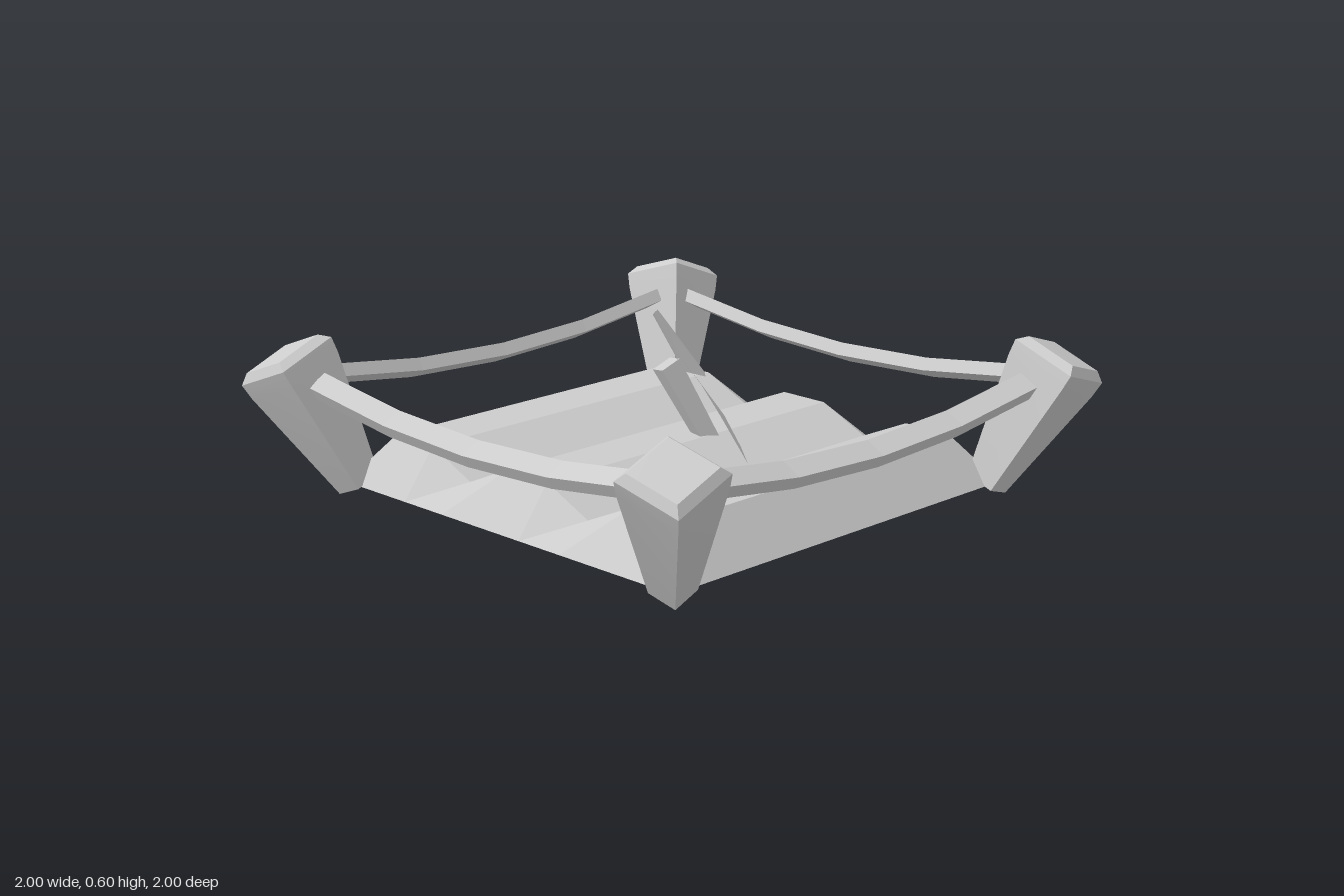
import * as THREE from 'three';
import { toCreasedNormals } from 'three/addons/utils/BufferGeometryUtils.js';

const material = new THREE.MeshStandardMaterial({ color: 0xcccccc });
const thin = new THREE.MeshStandardMaterial({ color: 0xcccccc, side: THREE.DoubleSide });

function add(parent, name, geometry, mat = material) {
  const mesh = new THREE.Mesh(geometry, mat);
  mesh.name = name;
  parent.add(mesh);
  return mesh;
}

function flat(geometry) {
  const g = geometry.toNonIndexed();
  g.computeVertexNormals();
  return g;
}

// Open-bottomed bed: furrowed top with a sloping skirt on all sides
function soilGeometry() {
  const xs = [-0.75, -0.63, -0.45, -0.27, -0.09, 0.09, 0.27, 0.45, 0.63, 0.75];
  const zs = [-0.75, -0.63, 0.63, 0.75];
  const g = new THREE.PlaneGeometry(1, 1, 9, 3);
  zs.forEach((z, r) => xs.forEach((x0, c) => {
    const endRow = r === 0 || r === 3;
    const border = endRow || c === 0 || c === 9;
    const x = endRow && (c === 1 || c === 8) ? Math.sign(x0) * 0.75 : x0;
    const y = border ? 0.04 : (c === 3 || c === 6 ? 0.12 : 0.2);
    g.attributes.position.setXYZ(r * 10 + c, x, y, z);
  }));
  return flat(g);
}

// Square post that widens upward to a chamfered head
function postGeometry() {
  const profile = [[0, 0], [0.072, 0], [0.158, 0.41], [0.164, 0.465], [0.13, 0.493], [0, 0.495]];
  const g = new THREE.LatheGeometry(profile.map(([r, y]) => new THREE.Vector2(r, y)), 4);
  return toCreasedNormals(g.rotateY(0.09), 0.6);
}

// Sagging plank, tilted outward like the posts
function railGeometry() {
  const g = new THREE.BoxGeometry(1.49, 0.045, 0.075, 4, 1, 1).rotateX(0.5);
  const p = g.attributes.position;
  for (let i = 0; i < p.count; i++) {
    p.setY(i, p.getY(i) + 0.318 + 0.065 * (p.getX(i) / 0.745) ** 2);
  }
  return flat(g.translate(0, 0, 0.845));
}

// Leaf blade spanned between an upper and a lower edge
function leafGeometry(upper, lower) {
  const points = [];
  const index = [];
  upper.forEach((u, i) => {
    points.push(...u, ...lower[i]);
    if (i > 0) {
      const a = 2 * i - 2;
      index.push(a, a + 1, a + 2, a + 1, a + 3, a + 2);
    }
  });
  const g = new THREE.BufferGeometry();
  g.setAttribute('position', new THREE.Float32BufferAttribute(points, 3));
  g.setIndex(index);
  g.computeVertexNormals();
  return g;
}

export function createModel() {
  const model = new THREE.Group();
  model.name = 'gardenBed';
  add(model, 'soil', soilGeometry(), thin);

  // Fence: one post and one rail per quarter turn
  const post = postGeometry();
  const rail = railGeometry();
  for (let i = 0; i < 4; i++) {
    const corner = new THREE.Group();
    corner.name = 'fenceCorner';
    corner.rotation.y = -Math.PI / 4 + i * Math.PI / 2;
    const p = add(corner, 'post', post);
    p.position.set(0, 0.034, 1.018);
    p.rotation.x = 0.49;
    model.add(corner);
    add(model, 'rail', rail).rotation.y = i * Math.PI / 2;
  }

  // Seedling: leaning square stem and two leaves
  const sprout = new THREE.Group();
  sprout.name = 'sprout';
  const base = new THREE.Vector3(0.075, 0.16, -0.1);
  const top = new THREE.Vector3(-0.015, 0.435, 0.015);
  const axis = top.clone().sub(base);
  const stem = add(sprout, 'stem',
    flat(new THREE.CylinderGeometry(0.05, 0.04, axis.length(), 4).rotateY(0.5)));
  stem.position.copy(base).add(top).multiplyScalar(0.5);
  stem.quaternion.setFromUnitVectors(new THREE.Vector3(0, 1, 0), axis.normalize());

  add(sprout, 'backLeaf', leafGeometry(
    [[-0.04, 0.6, 0.05], [-0.15, 0.57, -0.07], [-0.25, 0.54, -0.18], [-0.35, 0.3, -0.38]],
    [[0.05, 0.42, 0], [0.04, 0.38, -0.11], [-0.13, 0.33, -0.28], [-0.35, 0.3, -0.38]]), thin);
  add(sprout, 'frontLeaf', leafGeometry(
    [[0.05, 0.54, 0.08], [0.27, 0.46, 0.155], [0.36, 0.365, 0.152], [0.47, 0.235, 0.145]],
    [[0.06, 0.41, -0.03], [0.2, 0.3, -0.03], [0.34, 0.24, 0.04], [0.47, 0.235, 0.145]]), thin);
  model.add(sprout);
  return model;
}
